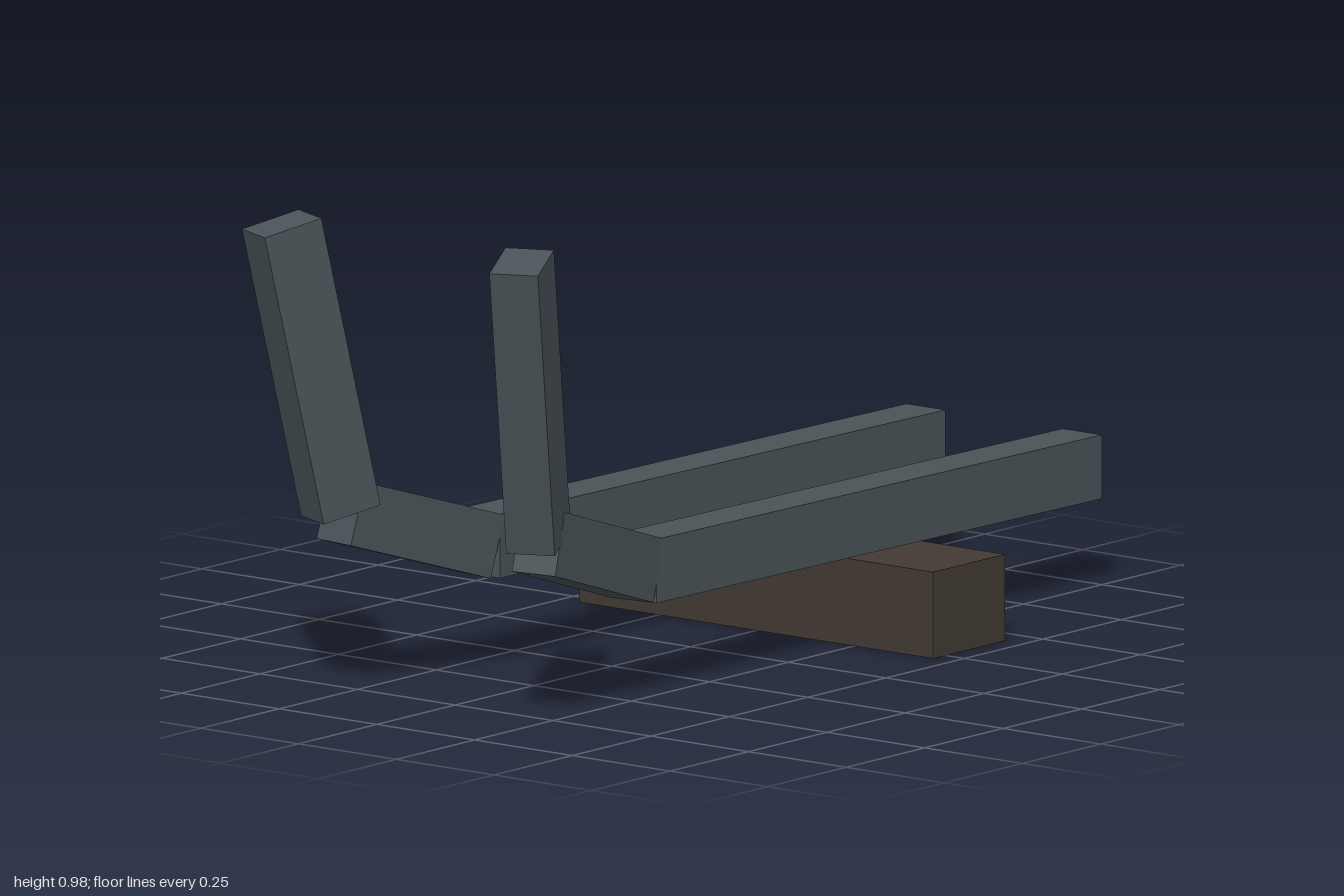
import * as THREE from 'three';

const slate = new THREE.MeshStandardMaterial({ color: 0x4a5458 });
slate.name = 'slate metal';
const brown = new THREE.MeshStandardMaterial({ color: 0x423a32 });
brown.name = 'dark brown';

// Square-ended bar running between two centre points
function bar(name, from, to, width = 0.1, height = 0.13) {
  const a = new THREE.Vector3(...from);
  const b = new THREE.Vector3(...to);
  const mesh = new THREE.Mesh(new THREE.BoxGeometry(width, height, a.distanceTo(b)), slate);
  mesh.name = name;
  mesh.position.copy(a).add(b).multiplyScalar(0.5);
  mesh.lookAt(b);
  return mesh;
}

export function createModel() {
  const group = new THREE.Group();
  group.name = 'twinProngs';

  // Cross block under the rails
  const block = new THREE.Mesh(new THREE.BoxGeometry(0.904, 0.176, 0.23), brown);
  block.name = 'crossBlock';
  block.position.set(0, 0.088, -0.325);
  group.add(block);

  // Each prong: long rail, rising bend and splayed upright tip
  for (const side of [1, -1]) {
    const prong = new THREE.Group();
    prong.name = side > 0 ? 'leftProng' : 'rightProng';
    const points = [[0.2, 0.24, -1], [0.2, 0.252, 0.42], [0.253, 0.372, 0.8], [0.307, 0.968, 0.921]]
      .map(([x, y, z]) => [x * side, y, z]);
    ['rail', 'bend', 'tip'].forEach((name, i) => prong.add(bar(name, points[i], points[i + 1])));
    group.add(prong);
  }
  return group;
}
